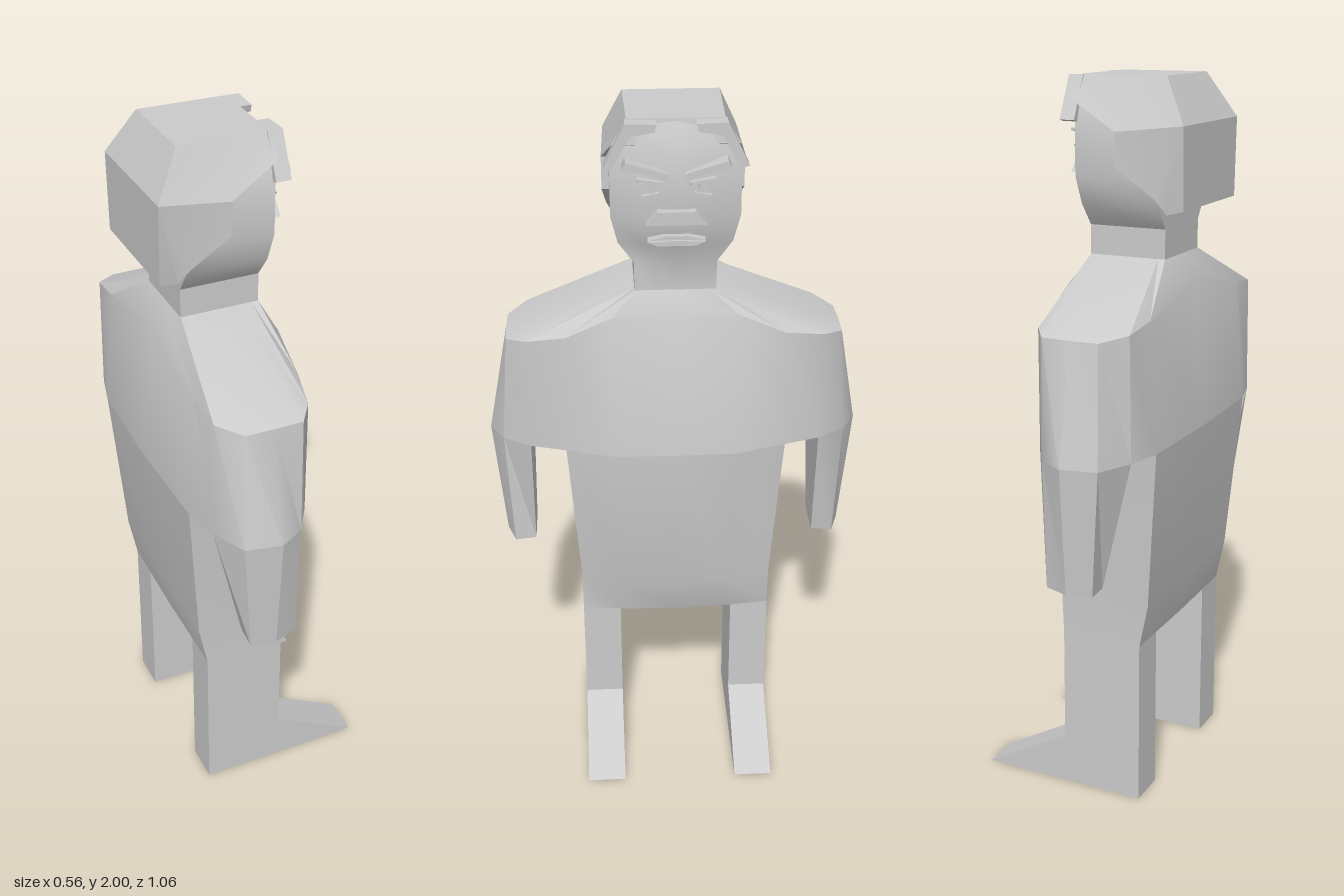
import * as THREE from 'three';
import { toCreasedNormals } from 'three/addons/utils/BufferGeometryUtils.js';

const material = new THREE.MeshStandardMaterial({ color: 0xcccccc, side: THREE.DoubleSide });

function addMesh(parent, name, geometry, crease = 0.5) {
  const mesh = new THREE.Mesh(toCreasedNormals(geometry, crease), material);
  mesh.name = name;
  parent.add(mesh);
  return mesh;
}

// Skin over rings of [x, y, z], listed bottom to top, capped at both ends
function loft(rings) {
  const n = rings[0].length, index = [];
  for (let r = 0; r < rings.length - 1; r++) {
    for (let i = 0; i < n; i++) {
      const a = r * n + i, b = r * n + (i + 1) % n;
      index.push(a, b + n, b, a, a + n, b + n);
    }
  }
  const top = (rings.length - 1) * n;
  for (let i = 1; i < n - 1; i++) index.push(0, i, i + 1, top, top + i + 1, top + i);
  const g = new THREE.BufferGeometry();
  g.setAttribute('position', new THREE.Float32BufferAttribute(rings.flat(2), 3));
  g.setIndex(index);
  return g;
}

// Half ring of [x, z, y?] from front centre to back centre, mirrored across z
function fullRing(y, half) {
  const left = half.map(([x, z, h]) => [x, h ?? y, z]);
  const right = left.slice(1, -1).reverse().map(([x, h, z]) => [x, h, -z]);
  return [...left, ...right];
}

function shapeOf(points) {
  return new THREE.Shape(points.map(([a, b]) => new THREE.Vector2(a, b)));
}

// Flat detail on the face: outline in [z, y], spanning x0 to x1
function facePiece(parent, name, outline, x0, x1) {
  const g = new THREE.ExtrudeGeometry(shapeOf(outline.map(([z, y]) => [-z, y])),
    { depth: x1 - x0, bevelEnabled: false });
  g.rotateY(Math.PI / 2);
  g.translate(x0, 0, 0);
  return addMesh(parent, name, g, 0.3);
}

export function createModel() {
  const model = new THREE.Group();
  model.name = 'figure';

  // Chest and shoulders, down to the armpits
  addMesh(model, 'chestAndShoulders', loft([
    fullRing(1.05, [[0.097, 0], [0.095, 0.17], [0.05, 0.31], [0.02, 0.41], [-0.03, 0.49],
      [-0.1, 0.53], [-0.2, 0.51], [-0.245, 0.41], [-0.27, 0.31], [-0.278, 0]]),
    fullRing(1.37, [[0.055, 0, 1.46], [0.05, 0.17, 1.46], [0.045, 0.3, 1.4], [0.02, 0.41, 1.38], [-0.02, 0.465],
      [-0.1, 0.467], [-0.18, 0.465], [-0.24, 0.41, 1.385], [-0.245, 0.3, 1.4], [-0.245, 0, 1.46]]),
    fullRing(1.525, [[0.02, 0], [0.02, 0.09], [0.02, 0.11], [0, 0.11], [-0.04, 0.11],
      [-0.1, 0.11], [-0.15, 0.11], [-0.18, 0.11], [-0.2, 0.11], [-0.2, 0]]),
  ]), 0.55);

  // Belly and hips
  addMesh(model, 'belly', loft([
    fullRing(0.475, [[0.045, 0], [0.04, 0.15], [0.025, 0.28], [-0.21, 0.28], [-0.213, 0]]),
    fullRing(0.6, [[0.088, 0], [0.08, 0.15], [0.03, 0.28], [-0.235, 0.28], [-0.242, 0]]),
    fullRing(1.05, [[0.097, 0], [0.095, 0.17], [0.05, 0.31], [-0.27, 0.31], [-0.278, 0]]),
  ]), 0.55);

  // Forearms and legs with wedge feet
  for (const s of [1, -1]) {
    const side = s > 0 ? 'left' : 'right';
    const arm = (y, pts) => {
      const ring = pts.map(([x, z]) => [x, y, z * s]);
      return s > 0 ? ring : ring.reverse();
    };
    addMesh(model, side + 'Forearm', loft([
      arm(0.695, [[-0.04, 0.415], [-0.03, 0.475], [-0.1, 0.5], [-0.17, 0.485], [-0.165, 0.415]]),
      arm(1.05, [[0.02, 0.41], [-0.03, 0.49], [-0.1, 0.53], [-0.2, 0.51], [-0.245, 0.41]]),
    ]));
    const leg = new THREE.ExtrudeGeometry(shapeOf([[-0.21, 0], [0.277, 0], [0.025, 0.145],
      [0.025, 0.6], [-0.21, 0.6]]), { depth: 0.112, bevelEnabled: false });
    leg.translate(0, 0, s > 0 ? 0.168 : -0.28);
    addMesh(model, side + 'Leg', leg);
  }

  // Neck and head as one skin
  const head = new THREE.Group();
  head.name = 'head';
  model.add(head);
  const headRing = (y, front, back, w, round) => fullRing(y,
    [[front, 0], [front - round * 0.3, w * 0.55], [front - round, w], [back, w], [back, 0]]);
  addMesh(head, 'neckAndFace', loft([
    headRing(1.52, 0.02, -0.2, 0.11, 0),
    headRing(1.605, 0.02, -0.2, 0.11, 0),
    headRing(1.665, 0.055, -0.2, 0.152, 0.03),
    headRing(1.74, 0.075, -0.2, 0.17, 0.04),
    headRing(1.87, 0.075, -0.2, 0.17, 0.04),
    headRing(1.95, 0.058, -0.2, 0.145, 0.03),
    headRing(1.995, 0.035, -0.2, 0.12, 0.01),
  ]), 0.6);

  // Hair: side outline [x, y, half width], tapered towards the crown and nape
  const hair = [[0.035, 2, 0.125], [-0.21, 2, 0.13], [-0.28, 1.88, 0.183], [-0.28, 1.665, 0.175],
    [-0.225, 1.65, 0.16], [-0.2, 1.69, 0.178], [-0.09, 1.77, 0.19], [-0.09, 1.86, 0.19], [0.045, 1.935, 0.165]];
  const hairGeometry = new THREE.ExtrudeGeometry(shapeOf(hair), { depth: 1, bevelEnabled: false });
  const p = hairGeometry.attributes.position;
  for (let i = 0; i < p.count; i++) {
    const point = hair.find(([x, y]) => Math.hypot(x - p.getX(i), y - p.getY(i)) < 1e-4);
    p.setZ(i, p.getZ(i) > 0.5 ? point[2] : -point[2]);
  }
  addMesh(head, 'hair', hairGeometry, 0.4);

  // Face details
  for (const s of [1, -1]) {
    const side = s > 0 ? 'left' : 'right';
    const flip = (pts) => pts.map(([z, y]) => [z * s, y]);
    facePiece(head, side + 'Fringe', flip([[0.05, 1.995], [0.13, 1.998], [0.185, 1.885],
      [0.165, 1.88], [0.115, 1.965], [0.055, 1.975]]), 0.03, 0.072);
    facePiece(head, side + 'Eyebrow', flip([[0.02, 1.872], [0.06, 1.885], [0.13, 1.905],
      [0.14, 1.885], [0.06, 1.87], [0.025, 1.855]]), 0.04, 0.092);
    facePiece(head, side + 'Eyelid', flip([[0.035, 1.848], [0.1, 1.858], [0.1, 1.85], [0.035, 1.84]]), 0.05, 0.083);
    facePiece(head, side + 'Pupil', flip([[0.058, 1.845], [0.078, 1.845], [0.078, 1.82], [0.058, 1.82]]), 0.05, 0.08);
    facePiece(head, side + 'EyeBag', flip([[0.045, 1.82], [0.09, 1.812], [0.085, 1.806], [0.045, 1.812]]), 0.05, 0.08);
  }
  facePiece(head, 'nose', [[-0.05, 1.773], [0.05, 1.773], [0.08, 1.738], [-0.08, 1.738]], 0.05, 0.095);
  facePiece(head, 'upperLip', [[-0.075, 1.69], [-0.03, 1.702], [0.03, 1.702], [0.075, 1.69], [0, 1.692]], 0.04, 0.08);
  facePiece(head, 'lowerLip', [[-0.075, 1.684], [0, 1.687], [0.075, 1.684], [0.05, 1.673], [-0.05, 1.673]], 0.04, 0.075);

  return model;
}
